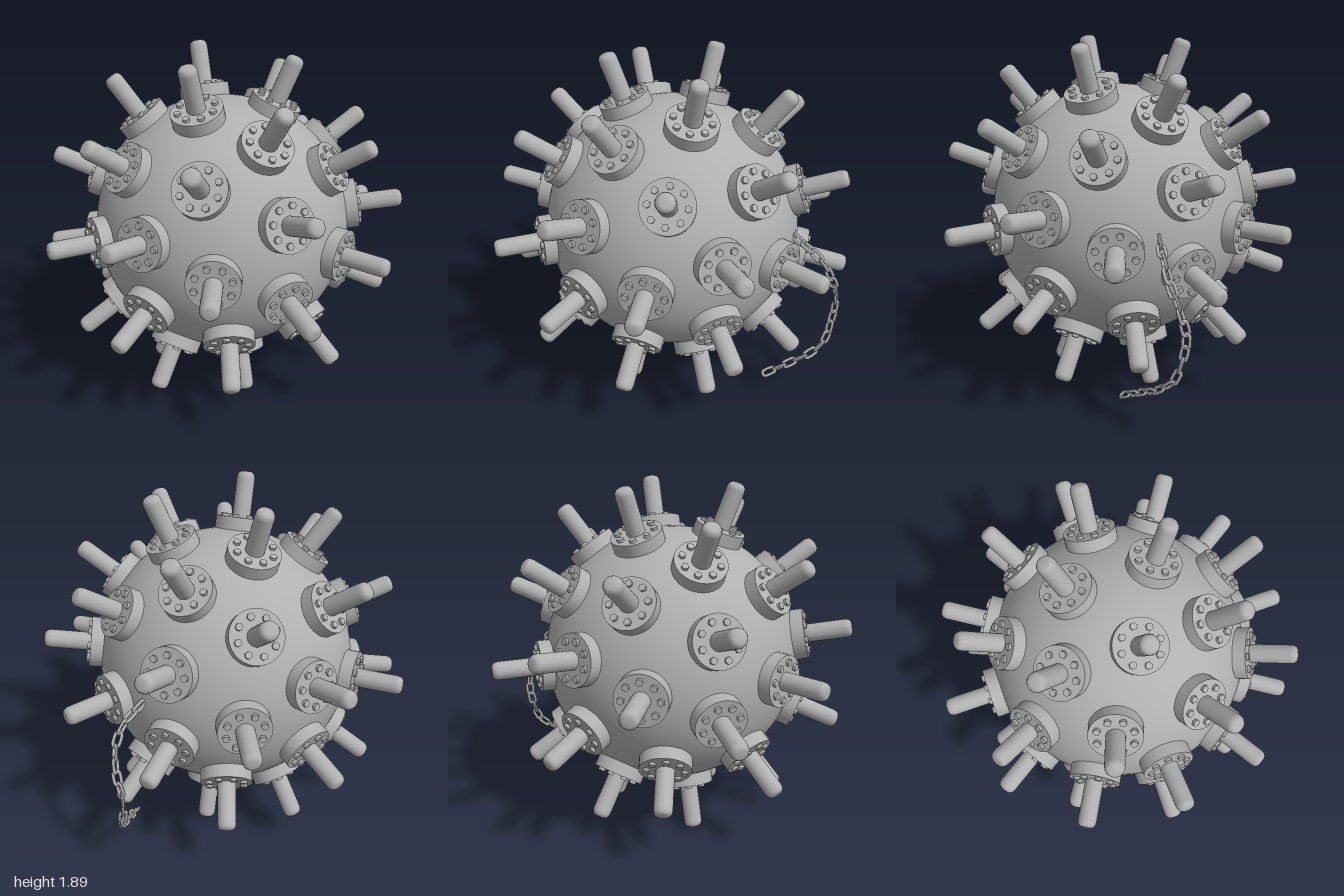
import * as THREE from 'three';

const CENTER_Y = 0.952;
const steel = new THREE.MeshStandardMaterial({ color: 0xb0b0b0 });
steel.name = 'grey steel';

function part(name, geometry) {
  const mesh = new THREE.Mesh(geometry, steel);
  mesh.name = name;
  return mesh;
}

// 12 icosahedron corners and 30 edge midpoints, in a tilted frame a, b, c
function spikeDirections() {
  const yaw = THREE.MathUtils.degToRad(5), roll = THREE.MathUtils.degToRad(22.4);
  const a = new THREE.Vector3(Math.sin(yaw), 0, Math.cos(yaw));
  const c = new THREE.Vector3(Math.cos(yaw) * Math.sin(roll), Math.cos(roll), -Math.sin(yaw) * Math.sin(roll));
  const b = new THREE.Vector3().crossVectors(c, a);
  const phi = (1 + Math.sqrt(5)) / 2;
  const corners = [];
  for (const [u, v] of [[a, b], [b, c], [c, a]])
    for (const s of [1, -1])
      for (const t of [1, -1])
        corners.push(new THREE.Vector3().addScaledVector(u, s * phi).addScaledVector(v, t).normalize());
  const directions = [...corners];
  for (let i = 0; i < 12; i++)
    for (let j = i + 1; j < 12; j++)
      if (corners[i].dot(corners[j]) > 0.3) directions.push(corners[i].clone().add(corners[j]).normalize());
  return directions;
}

// Geometries shared by every spike, measured outward from the sphere centre
const rodGeometry = new THREE.LatheGeometry(
  [[0.049, 0.7], [0.049, 0.965], [0.046, 0.982], [0.038, 0.994], [0.025, 1], [0, 1]]
    .map(([r, y]) => new THREE.Vector2(r, y)), 24);
const flangeGeometry = new THREE.CylinderGeometry(0.137, 0.137, 0.09, 32).translate(0, 0.709, 0);
const boltGeometry = new THREE.CylinderGeometry(0.019, 0.019, 0.025, 6).translate(0, 0.757, 0);

function makeSpike(direction) {
  const spike = new THREE.Group();
  spike.name = 'spike';
  spike.add(part('rod', rodGeometry), part('flange', flangeGeometry));
  for (let i = 0; i < 8; i++) {
    const angle = (i + 0.5) * Math.PI / 4;
    const bolt = part('bolt', boltGeometry);
    bolt.position.set(0.098 * Math.cos(angle), 0, 0.098 * Math.sin(angle));
    bolt.rotation.y = -angle;
    spike.add(bolt);
  }
  spike.quaternion.setFromUnitVectors(new THREE.Vector3(0, 1, 0), direction);
  spike.position.y = CENTER_Y;
  return spike;
}

// Chain hanging from the back of the sphere
function makeChain() {
  const chain = new THREE.Group();
  chain.name = 'chain';
  const path = new THREE.CatmullRomCurve3([
    [0.45, 0.985, -0.57], [0.52, 0.935, -0.635], [0.565, 0.845, -0.70], [0.565, 0.71, -0.76],
    [0.545, 0.59, -0.785], [0.55, 0.47, -0.77], [0.565, 0.36, -0.735], [0.57, 0.29, -0.66],
    [0.555, 0.235, -0.56], [0.53, 0.165, -0.43],
  ].map(p => new THREE.Vector3(...p)));

  // Oval link: a ring stretched along y
  const link = new THREE.TorusGeometry(0.018, 0.0085, 8, 20);
  const pos = link.attributes.position;
  for (let i = 0; i < pos.count; i++) {
    const y = pos.getY(i);
    pos.setY(i, y + 0.02 * THREE.MathUtils.clamp(y / 0.006, -1, 1));
  }
  link.computeVertexNormals();

  const count = 18;
  for (let i = 0; i < count; i++) {
    const t = i / (count - 1);
    const mesh = part('chainLink', link);
    mesh.position.copy(path.getPointAt(t));
    mesh.quaternion.setFromUnitVectors(new THREE.Vector3(0, 1, 0), path.getTangentAt(t).normalize());
    mesh.rotateY(Math.PI / 4 + (i % 2) * Math.PI / 2);
    chain.add(mesh);
  }
  return chain;
}

export function createModel() {
  const model = new THREE.Group();
  model.name = 'spikedMine';
  const shell = part('shell', new THREE.SphereGeometry(0.7, 64, 48));
  shell.position.y = CENTER_Y;
  model.add(shell);
  for (const direction of spikeDirections()) model.add(makeSpike(direction));
  model.add(makeChain());
  return model;
}
